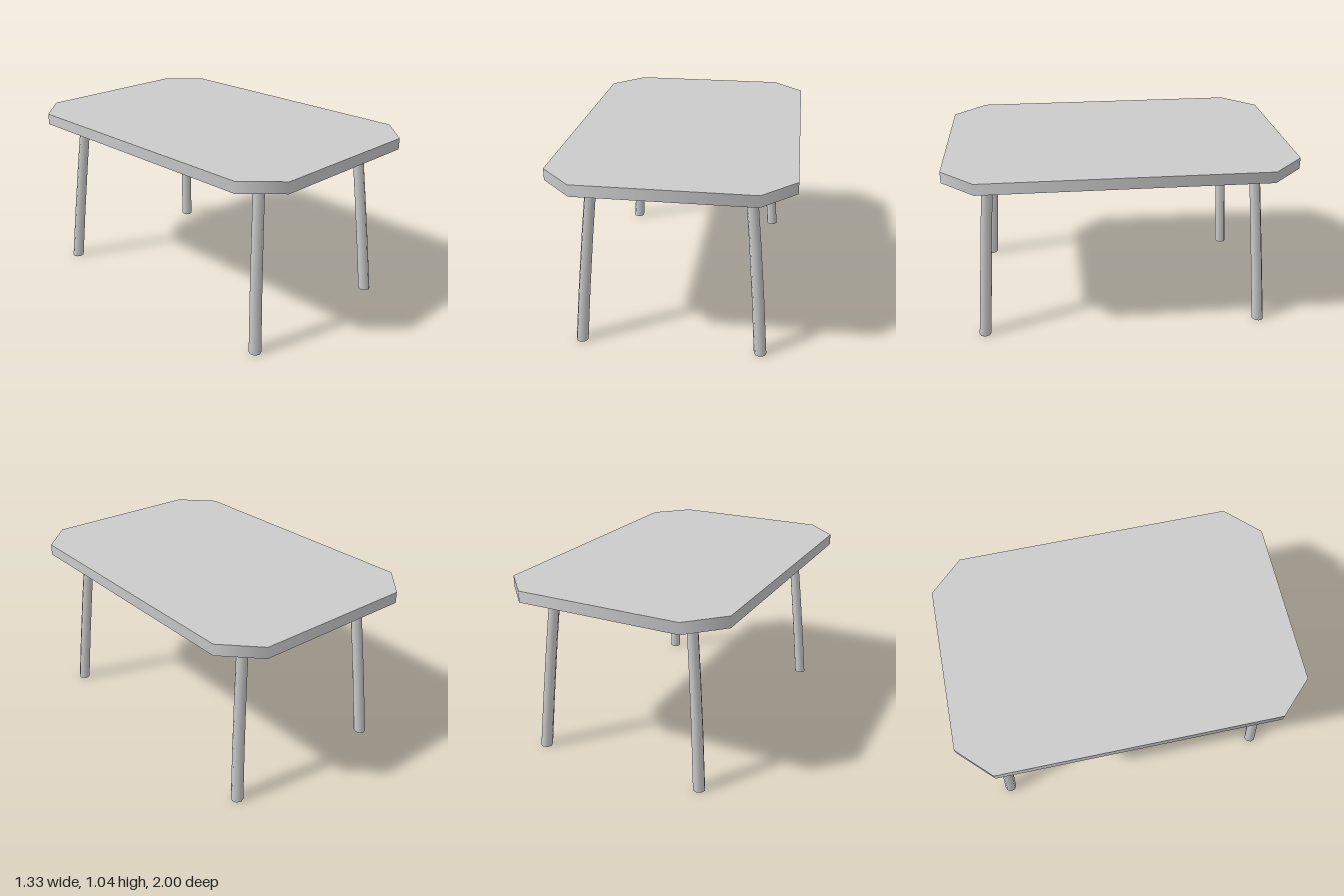
import * as THREE from 'three';

const material = new THREE.MeshStandardMaterial({ color: 0xcccccc });
const TOP_Y = 1.04, UNDER_Y = 0.975;

// Moves every vertex of a geometry by a rule, keeping its normals
function reshape(geometry, rule) {
  const pos = geometry.attributes.position;
  const v = new THREE.Vector3();
  for (let i = 0; i < pos.count; i++) {
    v.fromBufferAttribute(pos, i);
    rule(v);
    pos.setXYZ(i, v.x, v.y, v.z);
  }
  return geometry;
}

// Eight-sided slab stretched into a rectangle with cut corners
function createTabletop() {
  const height = TOP_Y - UNDER_Y;
  const geometry = new THREE.CylinderGeometry(1, 1, height, 8, 1, false, Math.PI / 8);
  reshape(geometry, (v) => {
    if (Math.hypot(v.x, v.z) < 0.01) return; // cap centres stay put
    const onLongSide = Math.abs(v.x) > Math.abs(v.z);
    v.x = Math.sign(v.x) * (onLongSide ? 0.665 : 0.48);
    v.z = Math.sign(v.z) * (onLongSide ? 0.81 : 1);
  });
  const top = new THREE.Mesh(geometry, material);
  top.name = 'tabletop';
  top.position.y = (TOP_Y + UNDER_Y) / 2;
  return top;
}

// Tapered leg, splayed outwards and slightly bowed
function createLeg(sx, sz) {
  const geometry = new THREE.CylinderGeometry(0.031, 0.035, UNDER_Y, 8, 3);
  geometry.translate(0, UNDER_Y / 2, 0);
  reshape(geometry, (v) => {
    v.x += sx * (0.51 - 0.07 * v.y - 0.0175 * v.y * v.y);
    v.z += sz * (0.83 - 0.077 * v.y);
  });
  const leg = new THREE.Mesh(geometry, material);
  leg.name = (sz > 0 ? 'front' : 'back') + (sx > 0 ? 'Left' : 'Right') + 'Leg';
  return leg;
}

export function createModel() {
  const table = new THREE.Group();
  table.name = 'table';
  table.add(createTabletop());
  for (const sx of [-1, 1]) for (const sz of [-1, 1]) table.add(createLeg(sx, sz));
  return table;
}
